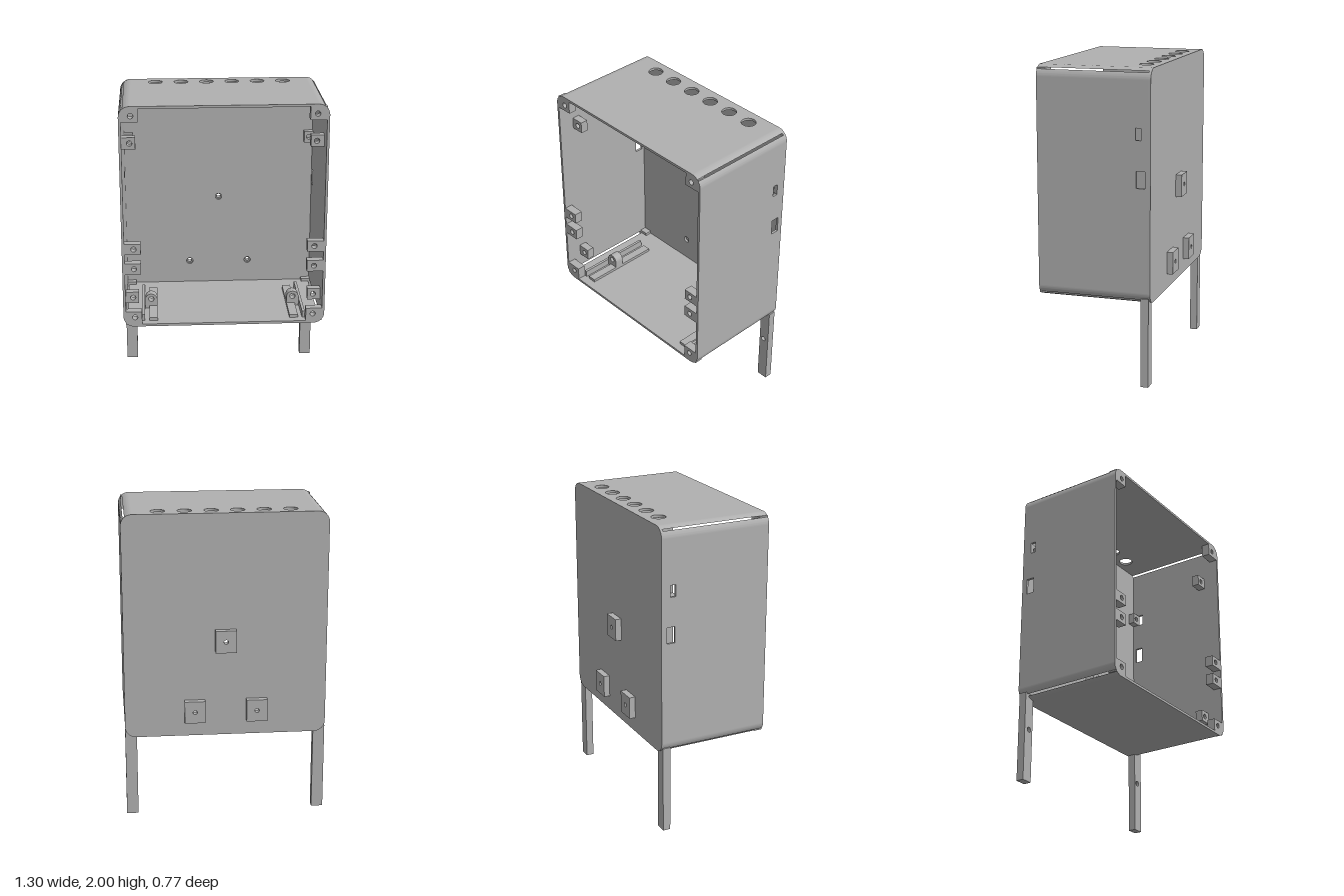
import * as THREE from 'three';
import { toCreasedNormals } from 'three/addons/utils/BufferGeometryUtils.js';

const W = 0.65, Y0 = 0.54, Y1 = 2, ZB = -0.345, ZF = 0.385; // case bounds
const R = 0.07, T = 0.016; // corner radius, wall thickness

export function createModel() {
  const model = new THREE.Group();
  const grey = new THREE.MeshStandardMaterial({ color: 0xb0b0b0 });
  grey.name = 'grey plastic';

  const rect = (x0, x1, y0, y1) => new THREE.Shape([
    new THREE.Vector2(x0, y0), new THREE.Vector2(x1, y0),
    new THREE.Vector2(x1, y1), new THREE.Vector2(x0, y1)]);
  const circle = (x, y, r) => new THREE.Path().absarc(x, y, r, 0, Math.PI * 2, true);
  const extrude = (shape, z0, z1) => toCreasedNormals(
    new THREE.ExtrudeGeometry(shape, { depth: z1 - z0, bevelEnabled: false, curveSegments: 16 })
      .translate(0, 0, z0), 0.5);
  function add(name, geometry, parent = model) {
    const mesh = new THREE.Mesh(geometry, grey);
    mesh.name = name;
    parent.add(mesh);
    return mesh;
  }
  // Block with a round screw hole along z
  function block(name, x0, x1, y0, y1, z0, z1, hx, hy, hr = 0.017) {
    const s = rect(x0, x1, y0, y1);
    s.holes.push(circle(hx, hy, hr));
    add(name, extrude(s, z0, z1));
  }
  const box = (name, x0, x1, y0, y1, z0, z1) => add(name, extrude(rect(x0, x1, y0, y1), z0, z1));

  // Back panel with rounded corners and three mounting holes
  const back = new THREE.Shape();
  back.absarc(W - R, Y1 - R, R, 0, Math.PI / 2);
  back.absarc(-W + R, Y1 - R, R, Math.PI / 2, Math.PI);
  back.absarc(-W + R, Y0 + R, R, Math.PI, Math.PI * 1.5);
  back.absarc(W - R, Y0 + R, R, Math.PI * 1.5, Math.PI * 2);
  const mounts = [[0, 1.178], [-0.2, 0.71], [0.2, 0.71]];
  for (const [x, y] of mounts) back.holes.push(circle(x, y, 0.022));
  add('backPanel', extrude(back, ZB, ZB + T));

  // Mounting pads behind the back panel
  for (const [x, y] of mounts) {
    block('mountingPad', x - 0.067, x + 0.067, y - 0.073, y + 0.073, -0.385, ZB, x, y, 0.014);
  }

  // Top and bottom walls; shapes are drawn in x and -z, then laid flat
  const zi = ZB + T;
  const top = rect(-W + R, W - R, -ZF, -zi);
  for (const x of [-0.417, -0.25, -0.083, 0.083, 0.25, 0.417]) top.holes.push(circle(x, 0.25, 0.046));
  add('topWall', extrude(top, 0, T).rotateX(-Math.PI / 2).translate(0, Y1 - T, 0));
  add('bottomWall', extrude(rect(-W + R, W - R, -ZF, -zi), 0, T)
    .rotateX(-Math.PI / 2).translate(0, Y0, 0));

  // Side walls with two rectangular cutouts, drawn in -z and y
  const side = rect(-ZF, -zi, Y0 + R, Y1 - R);
  side.holes.push(rect(0.25, 0.285, 1.565, 1.64), rect(0.255, 0.31, 1.27, 1.375));
  for (const x of [-W, W - T]) {
    add('sideWall', extrude(side, 0, T).rotateY(Math.PI / 2).translate(x, 0, 0));
  }

  // Rounded wall ends, which leave a thin slit along each corner
  const a = Math.acos((R - T) / R);
  for (const sx of [-1, 1]) for (const sy of [-1, 1]) for (const swap of [false, true]) {
    const pts = [[0, R - T]];
    for (let i = 0; i <= 8; i++) pts.push([R * Math.sin(a * i / 8), R * Math.cos(a * i / 8)]);
    const cx = sx * (W - R), cy = sy > 0 ? Y1 - R : Y0 + R;
    const s = new THREE.Shape(pts.map(([u, v]) => swap
      ? new THREE.Vector2(cx + sx * v, cy + sy * u)
      : new THREE.Vector2(cx + sx * u, cy + sy * v)));
    add('roundedCorner', extrude(s, zi, ZF));
  }

  // Fittings mirrored on both sides
  for (const s of [-1, 1]) {
    const span = (p, q) => [Math.min(s * p, s * q), Math.max(s * p, s * q)];
    const inner = W - T;

    // Lid screw bosses at the front edge
    for (const [y0, y1, hy] of [[1.9, 1.984, 1.94], [1.035, 1.107, 1.072],
      [0.9, 0.975, 0.938], [0.556, 0.642, 0.604]]) {
      block('lidBoss', ...span(0.53, inner), y0, y1, 0.33, ZF, s * 0.575, hy);
    }
    // Bosses set further in
    for (const y of [1.737, 0.698]) {
      block('innerBoss', ...span(0.55, inner), y - 0.038, y + 0.038, 0.23, 0.28, s * 0.587, y);
    }
    // Small boss at the back
    block('rearBoss', ...span(0.575, inner), 1.565, 1.64, zi, -0.285, s * 0.607, 1.603);

    // Legs with a blind hole in the front
    box('leg', ...span(0.575, W), 0, 0.575, -0.335, -0.315);
    block('legFront', ...span(0.575, W), 0, 0.575, -0.315, -0.285, s * 0.607, 0.335);

    // Floor rails and an upright tab with a rounded top
    box('tallRail', ...span(0.512, 0.53), Y0 + T, 0.6, -0.18, 0.33);
    box('lowRail', ...span(0.43, 0.485), Y0 + T, 0.575, -0.18, 0.33);
    const tab = new THREE.Shape();
    tab.moveTo(s * 0.47 - 0.04, Y0 + T);
    tab.lineTo(s * 0.47 + 0.04, Y0 + T);
    tab.absarc(s * 0.47, 0.617, 0.04, 0, Math.PI);
    tab.holes.push(circle(s * 0.47, 0.622, 0.018));
    add('railTab', extrude(tab, 0.07, 0.13));
  }
  return model;
}
